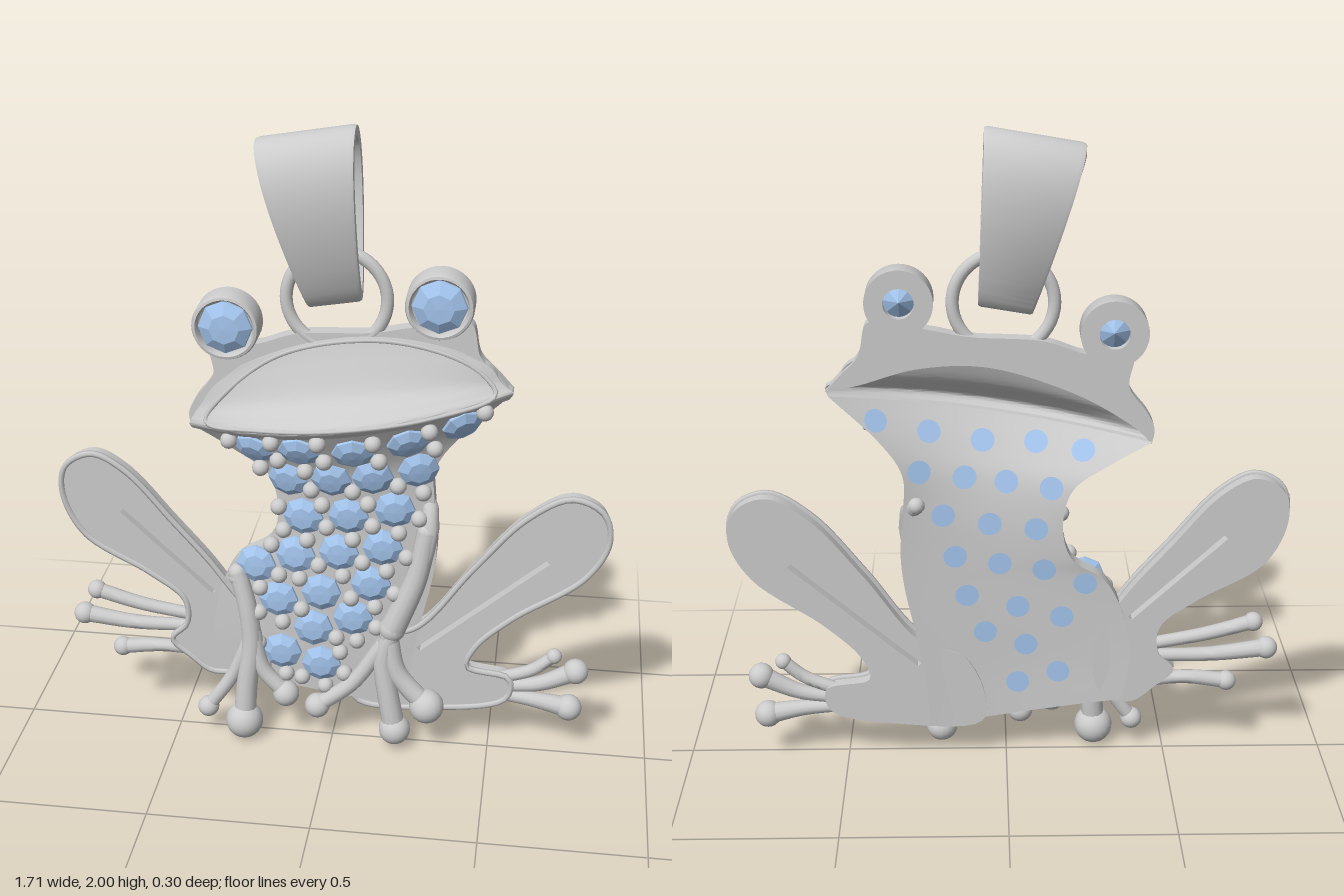
import * as THREE from 'three';
import { toCreasedNormals } from 'three/addons/utils/BufferGeometryUtils.js';

const metal = new THREE.MeshStandardMaterial({ color: 0xcccccc, side: THREE.DoubleSide });
const blue = new THREE.MeshStandardMaterial({ color: 0xa3c4ec, flatShading: true, side: THREE.DoubleSide });
const V = (x, y, z = 0) => new THREE.Vector3(x, y, z);
const lerp = THREE.MathUtils.lerp;

function add(parent, name, geometry, material = metal) {
  const mesh = new THREE.Mesh(geometry, material);
  mesh.name = name;
  parent.add(mesh);
  return mesh;
}

// Skin a run of closed cross-sections, turned so that faces point outward
function loft(sections, loop = false, crease = 0.7) {
  const n = sections[0].length, index = [];
  const pts = sections.flat();
  for (let i = 0; i < sections.length - (loop ? 0 : 1); i++) {
    const p = i * n, q = ((i + 1) % sections.length) * n;
    for (let j = 0; j < n; j++) {
      const k = (j + 1) % n;
      index.push(p + j, p + k, q + k, p + j, q + k, q + j);
    }
  }
  let volume = 0;
  const c = V(0, 0);
  for (let i = 0; i < index.length; i += 3) {
    volume += pts[index[i]].dot(c.crossVectors(pts[index[i + 1]], pts[index[i + 2]]));
  }
  if (volume < 0) index.reverse();
  const g = new THREE.BufferGeometry().setFromPoints(pts);
  g.setIndex(index);
  return toCreasedNormals(g, crease);
}

// Bowed sheet from rows of [leftX, leftY, rightX, rightY, sag, edgeZ, middleZ]
function sheet(rows) {
  const left = new THREE.CatmullRomCurve3(rows.map(r => V(r[0], r[1], r[5])), false, 'catmullrom');
  const right = new THREE.CatmullRomCurve3(rows.map(r => V(r[2], r[3], r[5])), false, 'catmullrom');
  const bow = new THREE.CatmullRomCurve3(rows.map(r => V(r[4], r[6])), false, 'catmullrom');
  const point = (s, v) => {
    const a = left.getPoint(v), b = right.getPoint(v), m = bow.getPoint(v), k = 1 - s * s;
    const p = a.clone().lerp(b, (s + 1) / 2);
    return V(p.x, p.y + m.x * k, lerp(a.z, m.y, k));
  };
  // Surface point and normal under a given x, y
  const locate = (x, y) => {
    let lo = 0, hi = 1, s = 0;
    for (let i = 0; i < 24; i++) {
      const v = (lo + hi) / 2, a = left.getPoint(v).x, b = right.getPoint(v).x;
      s = (2 * x - a - b) / (b - a);
      if (point(THREE.MathUtils.clamp(s, -1, 1), v).y < y) lo = v; else hi = v;
    }
    const v = THREE.MathUtils.clamp(lo, 0.01, 0.99), sc = THREE.MathUtils.clamp(s, -1, 1);
    const du = point(sc + 0.01, v).sub(point(sc - 0.01, v));
    const dv = point(sc, v + 0.01).sub(point(sc, v - 0.01));
    return { p: V(x, y, point(sc, v).z), n: du.cross(dv).normalize(), s, v: lo };
  };
  const solid = (thick) => {
    const sections = [], U = 28, N = 48;
    for (let i = -1; i <= N + 1; i++) {
      const v = THREE.MathUtils.clamp(i / N, 0, 1), t = i < 0 || i > N ? 0 : thick;
      const front = Array.from({ length: U + 1 }, (_, j) => point(j / U * 2 - 1, v));
      sections.push([...front, ...front.map(p => V(p.x, p.y, p.z - t)).reverse()]);
    }
    return loft(sections);
  };
  return { locate, solid };
}

// Round limb along a curve, swelling into a ball at its tip
function limb(parent, name, pts, r0, r1, ball) {
  const group = new THREE.Group();
  group.name = name;
  const curve = new THREE.CatmullRomCurve3(pts.map(p => V(...p)));
  const N = 14, f = curve.computeFrenetFrames(N);
  const rings = f.normals.map((n, i) => {
    const c = curve.getPointAt(i / N), r = lerp(r0, r1, (i / N) ** 1.5);
    return Array.from({ length: 12 }, (_, j) => {
      const a = j * Math.PI / 6;
      return c.clone().addScaledVector(n, r * Math.cos(a)).addScaledVector(f.binormals[i], r * Math.sin(a));
    });
  });
  add(group, 'shaft', loft(rings, false, 1.2));
  add(group, 'root', new THREE.SphereGeometry(r0, 12, 8)).position.copy(curve.getPoint(0));
  add(group, 'tip', new THREE.SphereGeometry(ball, 20, 14)).position.copy(curve.getPoint(1));
  parent.add(group);
}

const extrude = (shape, z0, z1) => toCreasedNormals(
  new THREE.ExtrudeGeometry(shape, { depth: z1 - z0, bevelEnabled: false, curveSegments: 12 }).translate(0, 0, z0), 0.6);
const lathe = (pts, sides) => new THREE.LatheGeometry(pts.map(p => new THREE.Vector2(...p)), sides).rotateX(Math.PI / 2);

// Flat hind leg with a slot and a raised border
function hindLeg(parent, name, outline, slot) {
  const curve = new THREE.CatmullRomCurve3(outline.map(p => V(p[0], p[1], -0.012)), true, 'centripetal');
  const shape = new THREE.Shape(curve.getPoints(110).slice(0, -1).map(p => new THREE.Vector2(p.x, p.y)));
  const [x0, y0, x1, y1] = slot, d = Math.hypot(x1 - x0, y1 - y0);
  const nx = -(y1 - y0) / d * 0.008, ny = (x1 - x0) / d * 0.008;
  shape.holes.push(new THREE.Path([[x0 + nx, y0 + ny], [x1 + nx, y1 + ny], [x1 - nx, y1 - ny], [x0 - nx, y0 - ny]]
    .map(p => new THREE.Vector2(...p))));
  add(parent, name, extrude(shape, -0.06, -0.012));
  add(parent, name + 'Border', new THREE.TubeGeometry(curve, 110, 0.01, 6, true));
}

export function createModel() {
  const model = new THREE.Group();
  model.name = 'frogPendant';

  // Body and head shells, meeting at the lip
  const body = sheet([
    [-.36, .21, .24, .12, 0, -.01, 0], [-.38, .35, .25, .28, 0, -.01, .005], [-.36, .5, .28, .45, 0, -.01, .005],
    [-.30, .62, .31, .6, 0, -.01, .005], [-.2, .69, .32, .72, 0, -.01, .005], [-.17, .8, .31, .85, 0, -.01, .01],
    [-.2, .92, .31, .97, 0, -.01, .03], [-.31, 1.0, .38, 1.08, -.01, -.01, .07], [-.43, 1.07, .52, 1.22, -.02, -.01, .125]]);
  add(model, 'body', body.solid(0.055));
  const head = sheet([
    [-.43, 1.06, .52, 1.21, -.02, -.01, .12], [-.435, 1.08, .53, 1.235, -.01, 0, .147], [-.42, 1.11, .51, 1.25, 0, 0, .115],
    [-.40, 1.14, .49, 1.27, .02, 0, .065], [-.36, 1.2, .46, 1.31, .06, 0, .025], [-.28, 1.27, .38, 1.35, .07, 0, .003]]);
  add(model, 'face', head.solid(0.035));

  // Thin raised line round the face panel
  const rim = [[-.38, 1.1], [-.31, 1.2], [-.15, 1.32], [.13, 1.378], [.35, 1.34], [.45, 1.28], [.48, 1.235], [.3, 1.185], [.05, 1.148], [-.2, 1.115]];
  add(model, 'faceRim', new THREE.TubeGeometry(new THREE.CatmullRomCurve3(
    rim.map(([x, y]) => head.locate(x, y).p), true, 'centripetal'), 100, 0.007, 6, true));

  // Crescent plate over the head
  const plan = pts => pts.map(p => new THREE.Vector2(...p));
  const crown = new THREE.Shape();
  crown.moveTo(-.43, 1.06);
  crown.splineThru(plan([[-.437, 1.11], [-.415, 1.16], [-.36, 1.24], [-.37, 1.33], [-.31, 1.335], [-.22, 1.345], [-.1, 1.383], [.1, 1.395],
    [.21, 1.415], [.3, 1.43], [.4, 1.44], [.43, 1.34], [.485, 1.28], [.53, 1.23]]));
  crown.splineThru(plan([[.43, 1.25], [.25, 1.3], [.04, 1.3], [-.2, 1.22], [-.37, 1.12], [-.43, 1.06]]));
  add(model, 'crown', extrude(crown, -0.055, -0.008));

  // Eyes: open-backed bezel around a cut stone
  for (const [name, x, y] of [['rightEye', -.315, 1.4], ['leftEye', .31, 1.495]]) {
    const eye = new THREE.Group();
    eye.name = name;
    eye.position.set(x, y, 0);
    add(eye, 'bezel', toCreasedNormals(lathe([[.045, -.055], [.1, -.055], [.1, .018], [.096, .028], [.088, .03], [.082, .02], [.082, 0], [.045, -.03], [.045, -.055]], 40), 0.6));
    add(eye, 'stone', lathe([[0, -.042], [.082, .012], [.08, .02], [.045, .04], [0, .042]], 8), blue);
    model.add(eye);
  }

  // Stones set in the body, each with a window at the back
  const gems = [[-.23, 1.03], [-.09, 1.045], [.07, 1.05], [.23, 1.085], [.385, 1.135], [-.135, .92], [0, .935], [.125, .95], [.26, .975],
    [-.09, .79], [.05, .805], [.19, .835], [-.24, .61], [-.115, .655], [.02, .675], [.155, .7], [-.17, .495], [-.035, .53], [.12, .57],
    [-.06, .4], [.065, .445], [-.16, .305], [-.035, .27]];
  const stone = lathe([[0, -.03], [.063, 0], [.062, .008], [.036, .024], [0, .026]], 8);
  const pane = new THREE.CircleGeometry(0.036, 20);
  const Z = V(0, 0, 1);
  for (const [x, y] of gems) {
    const { p, n } = body.locate(x, y);
    const gem = add(model, 'bodyStone', stone, blue);
    gem.position.copy(p);
    gem.quaternion.setFromUnitVectors(Z, n);
    const back = add(model, 'stoneWindow', pane, blue);
    back.position.set(p.x, p.y, p.z - 0.059);
    back.quaternion.setFromUnitVectors(Z, n.clone().negate());
  }

  // Beads in the gaps around the stones
  const beads = [], beadShape = new THREE.SphereGeometry(0.026, 14, 10);
  for (const [gx, gy] of gems) for (let k = 0; k < 6; k++) {
    const a = (40 + 60 * k) * Math.PI / 180, x = gx + 0.079 * Math.cos(a), y = gy + 0.079 * Math.sin(a);
    const near = (list, d) => list.some(([u, w]) => Math.hypot(u - x, w - y) < d);
    const { p, n, s, v } = body.locate(x, y);
    if (near(gems, 0.066) || near(beads, 0.05) || Math.abs(s) > 0.98 || v > 0.985) continue;
    beads.push([x, y]);
    add(model, 'bead', beadShape).position.copy(p).addScaledVector(n, 0.012);
  }

  // Hind legs and toes
  hindLeg(model, 'rightHindLeg', [[-.36, .56], [-.5, .73], [-.65, .9], [-.75, .95], [-.835, .905], [-.85, .81], [-.785, .67], [-.58, .545], [-.475, .46],
    [-.47, .37], [-.52, .31], [-.46, .25], [-.39, .2], [-.3, .22], [-.27, .4]], [-.665, .76, -.38, .49]);
  hindLeg(model, 'leftHindLeg', [[.27, .42], [.43, .63], [.59, .82], [.72, .895], [.815, .855], [.84, .76], [.775, .63], [.56, .47], [.45, .36],
    [.425, .285], [.56, .25], [.55, .175], [.33, .125], [.07, .14], [.12, .35]], [.66, .675, .27, .335]);
  for (const [name, x0, y0, x1, y1, x2, y2, r] of [
    ['rightHindToe', -.45, .39, -.62, .42, -.765, .46, .03], ['rightHindToe', -.46, .35, -.64, .35, -.81, .37, .035],
    ['rightHindToe', -.42, .26, -.56, .27, -.69, .255, .031], ['leftHindToe', .53, .24, .63, .28, .695, .335, .025],
    ['leftHindToe', .53, .21, .65, .23, .765, .285, .04], ['leftHindToe', .53, .18, .64, .17, .75, .15, .042]]) {
    limb(model, name, [[x0, y0, -.035], [x1, y1, -.03], [x2, y2, -.03]], .02, r * .8, r);
  }

  // Front legs and toes
  limb(model, 'rightFrontLeg', [[-.3, .575, 0], [-.27, .47, .015], [-.255, .33, .025], [-.27, .2, .035], [-.28, .06, .045]], .03, .036, .06);
  limb(model, 'rightFrontToe', [[-.26, .36, .02], [-.32, .21, .025], [-.4, .09, .03]], .022, .022, .034);
  limb(model, 'rightFrontToe', [[-.25, .38, .02], [-.22, .25, .03], [-.145, .165, .035]], .025, .026, .042);
  limb(model, 'leftFrontLeg', [[.27, .87, -.06], [.3, .82, -.01], [.285, .68, .005], [.23, .5, .015], [.165, .33, .025], [.18, .2, .035], [.205, .065, .04]], .026, .036, .05);
  limb(model, 'leftUpperArm', [[.29, .76, 0], [.26, .6, .01], [.19, .42, .015]], .032, .042, .042);
  limb(model, 'leftFrontToe', [[.18, .4, .02], [.21, .27, .03], [.305, .16, .04]], .03, .033, .055);
  limb(model, 'leftFrontToe', [[.16, .36, .02], [.07, .22, .025], [-.045, .125, .03]], .025, .026, .04);

  // Jump ring
  add(model, 'jumpRing', new THREE.TorusGeometry(0.148, 0.019, 12, 48)).position.set(0.008, 1.49, -0.025);

  // Tapered strap loop above the ring
  const N = 56;
  const path = t => V(0, 1.724 + 0.236 * Math.cos(t), -0.037 + 0.108 * Math.sin(t) * (0.83 + 0.28 * Math.cos(t)));
  const strap = Array.from({ length: N }, (_, i) => {
    const t = i / N * Math.PI * 2, c = path(t), d = path(t + 0.01).sub(path(t - 0.01)).normalize();
    const k = (c.y - 1.488) / 0.472, half = 0.078 + 0.065 * k, cx = 0.003 - 0.085 * k;
    return [[-1, 1], [-0.92, 1.25], [0.92, 1.25], [1, 1], [1, -1], [-1, -1]].map(([w, o]) =>
      V(cx + w * half, c.y - d.z * o * 0.014 * -1 + w * half * 0.17, c.z - d.y * o * 0.014));
  });
  add(model, 'bail', loft(strap, true, 0.5));

  return model;
}
